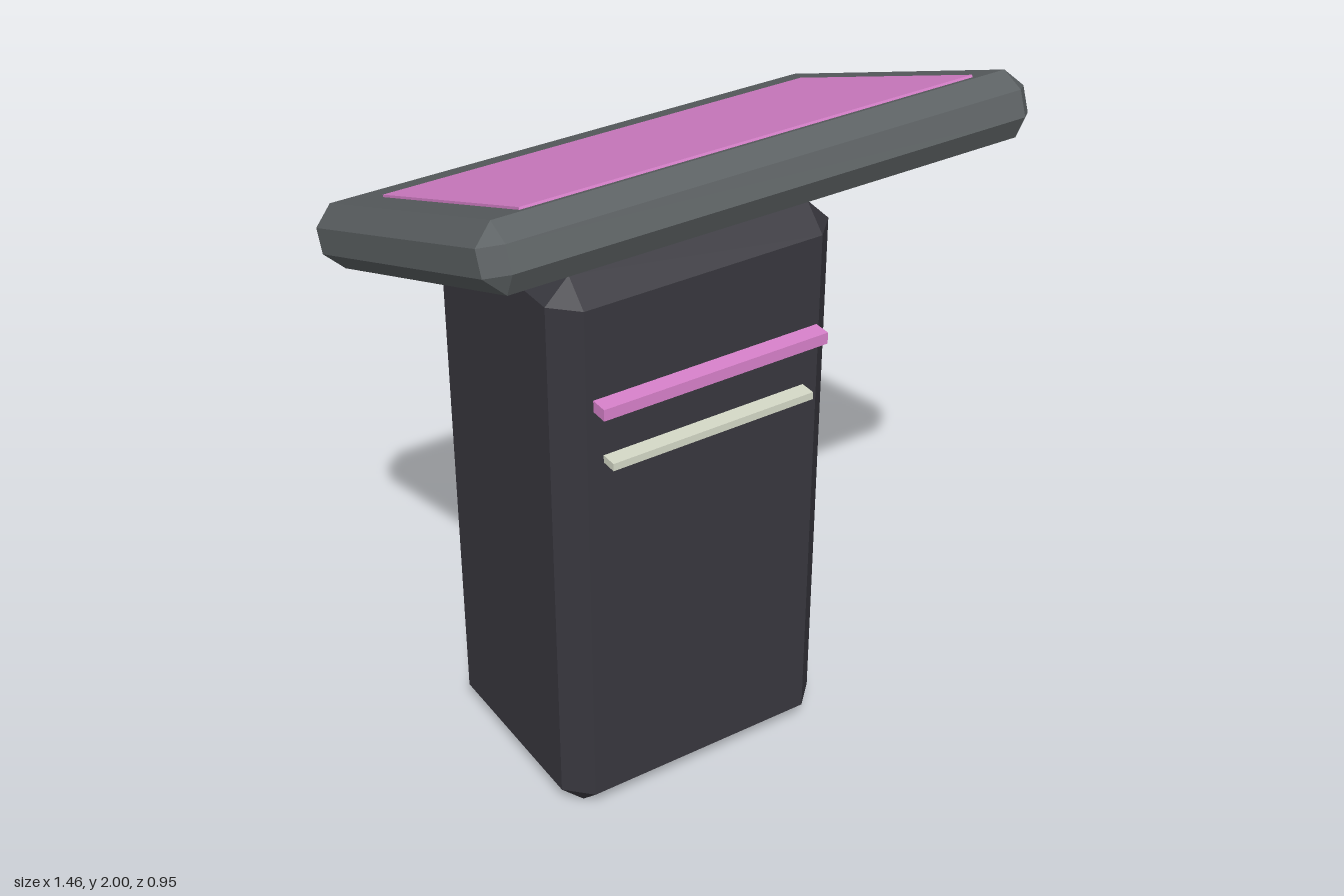
import * as THREE from 'three';
import { ConvexGeometry } from 'three/addons/geometries/ConvexGeometry.js';

const material = (name, color) => {
  const m = new THREE.MeshStandardMaterial({ color });
  m.name = name;
  return m;
};

// Box with every edge cut at 45 degrees: three points around each corner
function chamferBox(w, h, d, c) {
  const points = [];
  for (const sx of [-1, 1]) for (const sy of [-1, 1]) for (const sz of [-1, 1]) {
    const x = w / 2, y = h / 2, z = d / 2;
    points.push(
      new THREE.Vector3(sx * x, sy * (y - c), sz * (z - c)),
      new THREE.Vector3(sx * (x - c), sy * y, sz * (z - c)),
      new THREE.Vector3(sx * (x - c), sy * (y - c), sz * z));
  }
  return new ConvexGeometry(points);
}

export function createModel() {
  const model = new THREE.Group();
  model.name = 'kiosk';
  const bodyMat = material('charcoal', 0x38373e);
  const frameMat = material('grey', 0x5c6163);
  const pinkMat = material('pink', 0xd982cc);
  const creamMat = material('pale cream', 0xd6dac8);

  const add = (parent, name, geometry, mat, x, y, z) => {
    const mesh = new THREE.Mesh(geometry, mat);
    mesh.name = name;
    mesh.position.set(x, y, z);
    parent.add(mesh);
    return mesh;
  };

  // Upright pedestal
  add(model, 'pedestal', chamferBox(0.81, 1.63, 0.65, 0.066), bodyMat, 0, 0.815, -0.15);

  // Tilted console, high at the front, with the screen on its upper face
  const console_ = new THREE.Group();
  console_.name = 'console';
  console_.position.set(0, 1.763, 0.012);
  console_.rotation.x = -0.375;
  model.add(console_);
  add(console_, 'consoleFrame', chamferBox(1.46, 0.161, 0.976, 0.048), frameMat, 0, 0, 0);
  add(console_, 'screen', new THREE.BoxGeometry(1.206, 0.009, 0.715), pinkMat, 0, 0.082, 0.062);

  // Bars standing just off the pedestal front
  add(model, 'lightBar', new THREE.BoxGeometry(0.65, 0.032, 0.049), pinkMat, 0, 1.306, 0.209);
  add(model, 'slotBar', new THREE.BoxGeometry(0.59, 0.021, 0.045), creamMat, 0, 1.141, 0.2);

  return model;
}
